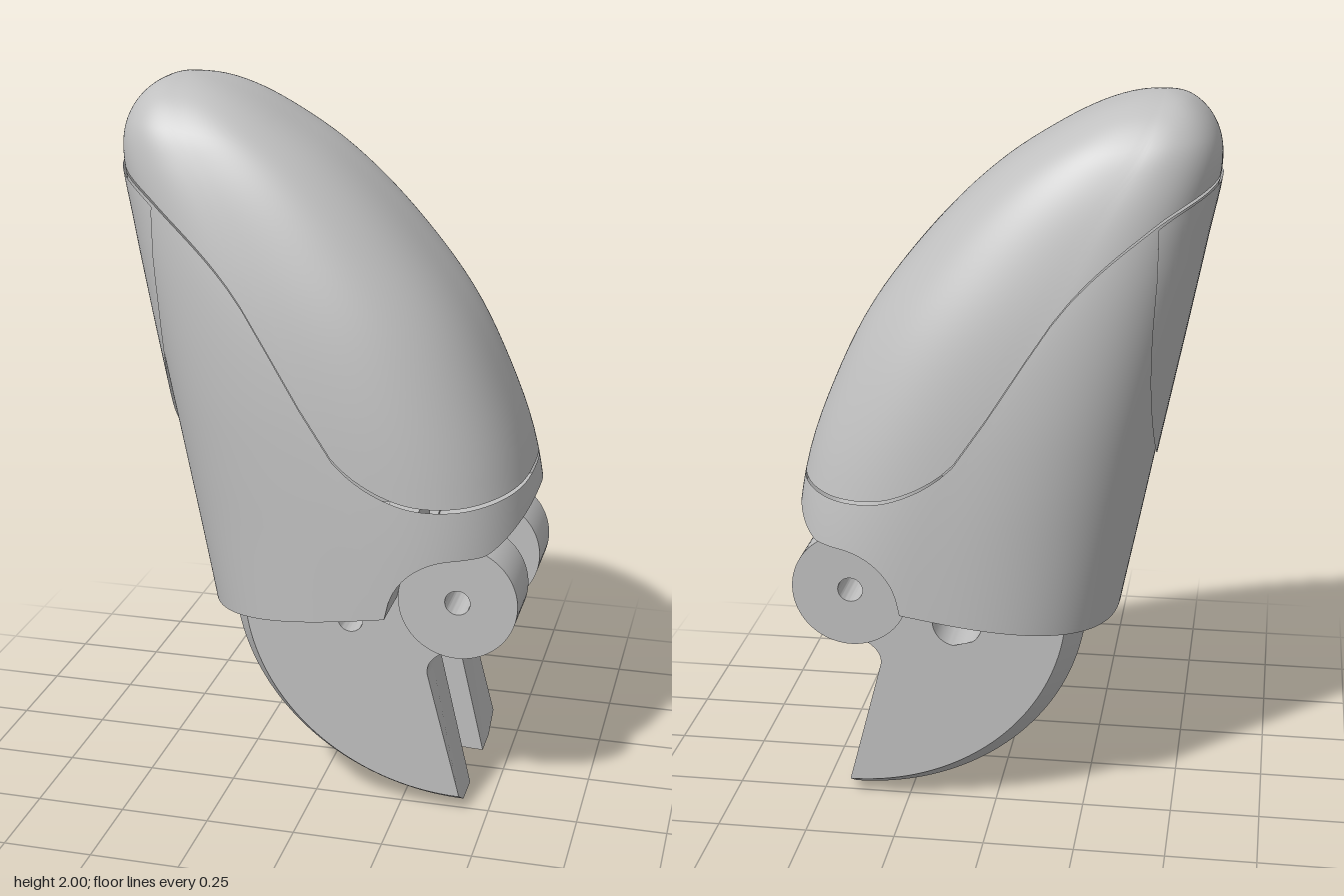
import * as THREE from 'three';
import { toCreasedNormals } from 'three/addons/utils/BufferGeometryUtils.js';

const grey = new THREE.MeshStandardMaterial({ color: 0xc0c0c0, side: THREE.DoubleSide });
grey.name = 'grey';

// Smooth interpolation through a table of knots
function spline(xs, ys) {
  const n = xs.length - 1;
  const slope = i => {
    const a = Math.max(0, i - 1), b = Math.min(n, i + 1);
    return (ys[b] - ys[a]) / (xs[b] - xs[a]);
  };
  return x => {
    x = Math.min(Math.max(x, xs[0]), xs[n]);
    let i = 0;
    while (i < n - 1 && x > xs[i + 1]) i++;
    const h = xs[i + 1] - xs[i], t = (x - xs[i]) / h, q = 1 - t;
    return ys[i] * (1 + 2 * t) * q * q + ys[i + 1] * t * t * (3 - 2 * t)
      + h * (slope(i) * t * q * q - slope(i + 1) * t * t * q);
  };
}

// Shell outline by height: front edge, back edge, half width, widest point
const depth = y => Math.sqrt(Math.max(0, 2 - y));
const heights = [2, 1.98, 1.9, 1.8, 1.6, 1.4, 1.2, 1, 0.8, 0.5].map(depth);
const frontX = spline(heights, [-0.42, -0.495, -0.562, -0.575, -0.537, -0.498, -0.458, -0.418, -0.379, -0.32]);
const backX = spline(heights, [-0.42, -0.3, -0.13, 0.02, 0.225, 0.375, 0.475, 0.548, 0.583, 0.6]);
const halfW = spline(heights, [0, 0.14, 0.245, 0.295, 0.35, 0.388, 0.412, 0.425, 0.432, 0.436]);
const widest = spline(heights, [0.42, 0.42, 0.42, 0.42, 0.43, 0.46, 0.49, 0.52, 0.55, 0.55]);
const seamY = spline([-0.575, -0.42, -0.2, 0, 0.1, 0.25, 0.4, 0.57],
  [1.79, 1.7, 1.5, 1.2, 1.06, 0.97, 0.945, 0.955]);
const P_FRONT = 2.6, P_BACK = 2.7;

// Front edge, back edge, centre and half width of the section at height y
function section(y) {
  const s = depth(y), l = frontX(s), r = backX(s);
  return { l, r, xc: l + widest(s) * (r - l), w: halfW(s) };
}

// Point on the shell at angle u and height y
function shellPoint(u, y) {
  const { l, r, xc, w } = section(y);
  const c = Math.cos(u), k = Math.sin(u), p = c < 0 ? P_FRONT : P_BACK;
  const a = c < 0 ? xc - l : r - xc;
  return [xc + a * Math.sign(c) * Math.abs(c) ** (2 / p), y,
    w * Math.sign(k) * Math.abs(k) ** (2 / p)];
}

// Lower rim: sloping edge, round clearance over the hinge, raised back
const HX = 0.405, HY = 0.64, HR = 0.165;
function rimY(x) {
  if (x < HX - HR) return 0.55 + (x + 0.33) * 0.157;
  if (x < HX) return HY + Math.sqrt(Math.max(0, HR ** 2 - (x - HX) ** 2));
  return 0.805 + 0.07 * Math.max(0, (x - 0.48) / 0.09) ** 1.5;
}

// Height at which a surface line meets the curve y = f(x)
function meet(xAt, f, lo = 0.5, hi = 2) {
  for (let i = 0; i < 32; i++) {
    const m = (lo + hi) / 2;
    if (m < f(xAt(m))) lo = m; else hi = m;
  }
  return lo;
}

// Surface from a grid of points, optionally closed around
function grid(nu, nv, fn, wrap) {
  const cols = wrap ? nu : nu + 1, pos = [], idx = [];
  for (let j = 0; j <= nv; j++)
    for (let i = 0; i < cols; i++) pos.push(...fn(i / nu, j / nv));
  for (let j = 0; j < nv; j++)
    for (let i = 0; i < nu; i++) {
      const a = j * cols + i, b = j * cols + (i + 1) % cols;
      idx.push(a, a + cols, b, b, a + cols, b + cols);
    }
  const g = new THREE.BufferGeometry();
  g.setAttribute('position', new THREE.Float32BufferAttribute(pos, 3));
  g.setIndex(idx);
  g.computeVertexNormals();
  return g;
}

// Claw and web share this outer ellipse
const EX = 0.42, EY = 0.62, RX = 0.67, RY = 0.62;

function clawGeometry(side) {
  const s = new THREE.Shape();
  s.moveTo(-0.25, 0.62);
  s.absellipse(EX, EY, RX, RY, Math.PI, Math.PI * 1.5, false);
  s.lineTo(0.325, 0.41);
  s.quadraticCurveTo(0.315, 0.45, 0.36, 0.48);
  s.lineTo(0.3, 0.6);
  s.lineTo(0.25, 0.7);
  s.lineTo(-0.25, 0.7);
  // The pin hole is wider in the right plate
  s.holes.push(new THREE.Path().absarc(0.105, 0.555, side > 0 ? 0.035 : 0.07, 0, Math.PI * 2, true));
  const g = new THREE.ExtrudeGeometry(s, { depth: 0.175, steps: 2, bevelEnabled: false, curveSegments: 28 });
  g.translate(0, 0, side > 0 ? 0.1 : -0.275);
  // Chamfer the curved edge towards the outer face
  const p = g.attributes.position;
  for (let i = 0; i < p.count; i++) {
    const x = p.getX(i), y = p.getY(i), z = Math.abs(p.getZ(i));
    if (z > 0.26 && Math.hypot((x - EX) / RX, (y - EY) / RY) > 0.95)
      p.setXY(i, EX + (x - EX) * 0.925, EY + (y - EY) * 0.925);
    else if (z > 0.15 && z < 0.26) p.setZ(i, side * 0.2);
  }
  return toCreasedNormals(g, 0.5);
}

function knuckleGeometry(side) {
  const s = new THREE.Shape().absarc(HX, HY, HR, 0, Math.PI * 2, false);
  s.holes.push(new THREE.Path().absarc(HX, HY, 0.035, 0, Math.PI * 2, true));
  const g = new THREE.ExtrudeGeometry(s, { depth: 0.18, bevelEnabled: false, curveSegments: 40 });
  g.translate(0, 0, side > 0 ? 0.1 : -0.28);
  return toCreasedNormals(g, 0.5);
}

// Arched web joining the two claw plates
function webGeometry() {
  const s = new THREE.Shape();
  s.moveTo(-0.1, 0.29);
  s.bezierCurveTo(-0.04, 0.44, -0.03, 0.49, 0, 0.49);
  s.bezierCurveTo(0.03, 0.49, 0.04, 0.44, 0.1, 0.29);
  for (const y of [0.4, 0.5, 0.62, 0.7]) s.lineTo(0.1, y);
  for (const y of [0.7, 0.62, 0.5, 0.4]) s.lineTo(-0.1, y);
  const g = new THREE.ExtrudeGeometry(s, { depth: 0.15, bevelEnabled: false, curveSegments: 12 });
  g.rotateY(Math.PI / 2);
  const p = g.attributes.position;
  for (let i = 0; i < p.count; i++) {
    const d = Math.max(0, EY - p.getY(i)) / RY;
    p.setX(i, p.getX(i) + EX - RX * Math.sqrt(1 - d * d));
  }
  return toCreasedNormals(g, 0.5);
}

export function createModel() {
  const model = new THREE.Group();
  model.name = 'fingertip';
  const add = (name, geometry) => {
    const m = new THREE.Mesh(geometry, grey);
    m.name = name;
    model.add(m);
  };

  const N = 240, GAP = 0.009;
  const rim = [], seam = [];
  for (let i = 0; i < N; i++) {
    const xAt = y => shellPoint(i / N * Math.PI * 2, y)[0];
    rim.push(meet(xAt, rimY));
    seam.push(meet(xAt, seamY));
  }

  // Shell halves, parted by a narrow gap
  add('lowerShell', grid(N, 24, (u, v) => {
    const i = Math.round(u * N) % N;
    return shellPoint(u * Math.PI * 2, rim[i] + (seam[i] - GAP - rim[i]) * v);
  }, true));
  add('upperShell', grid(N, 40, (u, v) => {
    const i = Math.round(u * N) % N, s = depth(seam[i]) * (1 - v);
    return shellPoint(u * Math.PI * 2, 2 - s * s);
  }, true));

  // Underside closing the lower shell
  const under = grid(N / 2, 1, (u, v) => {
    const i = Math.round(u * N / 2);
    const [x, y, z] = shellPoint(i / N * Math.PI * 2, rim[i]);
    return [x, y, v ? z : -z];
  });
  add('underside', toCreasedNormals(under, 0.5));

  // Rounded pad panel on the front of the lower shell
  add('padPanel', grid(40, 24, (u, v) => {
    const phi = (u - 0.5) * Math.PI, z = 0.3 * Math.sin(phi);
    const xAt = y => {
      const { l, xc, w } = section(y), k = Math.min(1, Math.abs(z) / w);
      return xc - (xc - l) * (1 - k ** P_FRONT) ** (1 / P_FRONT);
    };
    const low = 1.67 - 0.67 * Math.max(0, Math.cos(phi)) ** 0.7;
    const top = meet(xAt, seamY, 1, 1.79) - GAP;
    const y = low + (Math.max(top, low) - low) * v;
    return [xAt(y) - 0.006, y, z * 1.015];
  }));

  // Claw plates with hinge knuckles
  for (const side of [1, -1]) {
    const name = side > 0 ? 'left' : 'right';
    add(name + 'Claw', clawGeometry(side));
    add(name + 'Knuckle', knuckleGeometry(side));
  }
  add('clawWeb', webGeometry());

  // Flat wall between the knuckles
  add('hingeWall', new THREE.BoxGeometry(0.095, 0.255, 0.2).translate(0.2, 0.678, 0));
  return model;
}
